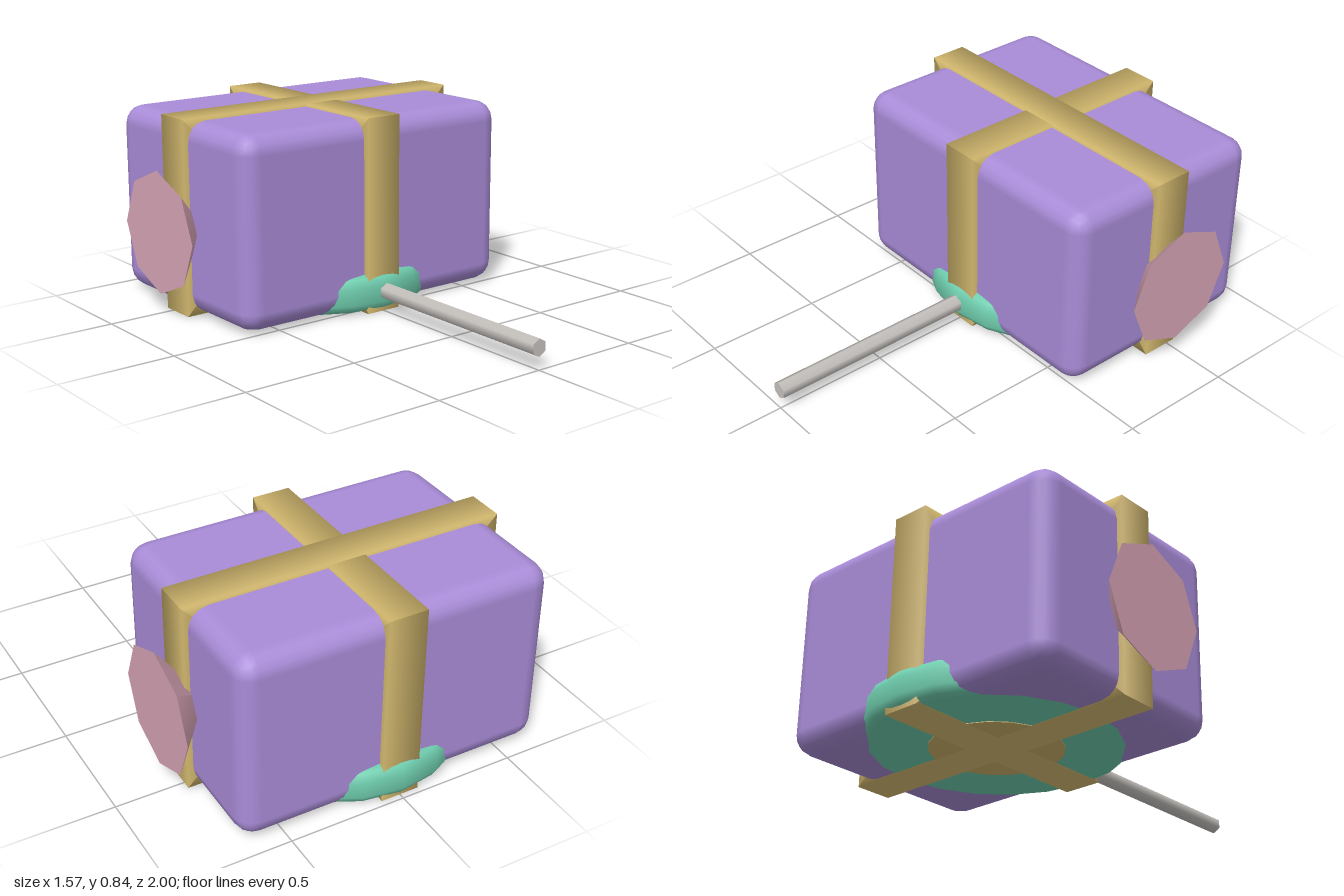
import * as THREE from 'three';
import { RoundedBoxGeometry } from 'three/addons/geometries/RoundedBoxGeometry.js';

const material = (name, color) => Object.assign(new THREE.MeshStandardMaterial({ color }), { name });

const MID_Z = -0.457;
const BAND = 0.165;

// Square bar with softly shaded edges and 45 degree mitred ends; runs along y, outer face at +x.
function mitredBar(length) {
  const g = new THREE.CylinderGeometry(BAND / Math.SQRT2, BAND / Math.SQRT2, length, 4, 1, true);
  g.rotateY(Math.PI / 4);
  const p = g.attributes.position;
  for (let i = 0; i < p.count; i++) {
    if (p.getX(i) < 0) p.setY(i, p.getY(i) - Math.sign(p.getY(i)) * BAND);
  }
  return g;
}

// Rectangular hoop in the xy plane made of four bars
function hoop(name, width, height, mat) {
  const group = new THREE.Group();
  group.name = name;
  for (let i = 0; i < 4; i++) {
    const upright = i % 2 === 0;
    const g = mitredBar(upright ? height : width);
    g.translate((upright ? width : height) / 2 - BAND / 2, 0, 0);
    g.rotateZ(i * Math.PI / 2);
    const bar = new THREE.Mesh(g, mat);
    bar.name = 'bandBar';
    group.add(bar);
  }
  return group;
}

export function createModel() {
  const model = new THREE.Group();
  const purple = material('purple', 0xa98cd8);
  const gold = material('gold', 0xcfb56c);
  const pink = material('pink', 0xd8a5b6);
  const green = material('green', 0x70cfb0);
  const grey = material('grey', 0xc6c2be);

  const add = (name, geometry, mat, x, y, z) => {
    const mesh = new THREE.Mesh(geometry, mat);
    mesh.name = name;
    mesh.position.set(x, y, z);
    model.add(mesh);
    return mesh;
  };

  // Main rounded block
  add('body', new RoundedBoxGeometry(1.36, 0.82, 0.98, 2, 0.085), purple, 0, 0.42, MID_Z);

  // Two crossing bands
  const across = hoop('crossBand', 1.41, 0.843, gold);
  across.position.set(0, 0.4235, MID_Z);
  const along = hoop('lengthBand', 1.035, 0.842, gold);
  along.rotation.y = Math.PI / 2;
  along.position.set(0, 0.421, MID_Z);
  model.add(across, along);

  // Round base plate with softened rim
  const rim = [[0, 0.008], [0.5, 0.008], [0.525, 0.02], [0.543, 0.05], [0.543, 0.12], [0.525, 0.155], [0.5, 0.17], [0, 0.17]];
  add('basePlate', new THREE.LatheGeometry(rim.map(([r, y]) => new THREE.Vector2(r, y)), 20), green, 0, 0, MID_Z);
  add('baseHub', new THREE.CylinderGeometry(0.27, 0.27, 0.006, 20), gold, 0, 0.008, MID_Z);

  // Long six-sided rod reaching forward
  add('rod', new THREE.CylinderGeometry(0.037, 0.037, 1.2, 6).rotateX(Math.PI / 2), grey, 0, 0.091, 0.4);

  // Flared eight-sided discs on both sides
  for (const side of [1, -1]) {
    const cone = new THREE.CylinderGeometry(0.265, 0.01, 0.2, 8).rotateZ(-side * Math.PI / 2);
    add(side > 0 ? 'leftDisc' : 'rightDisc', cone, pink, side * 0.685, 0.365, MID_Z);
  }
  return model;
}
